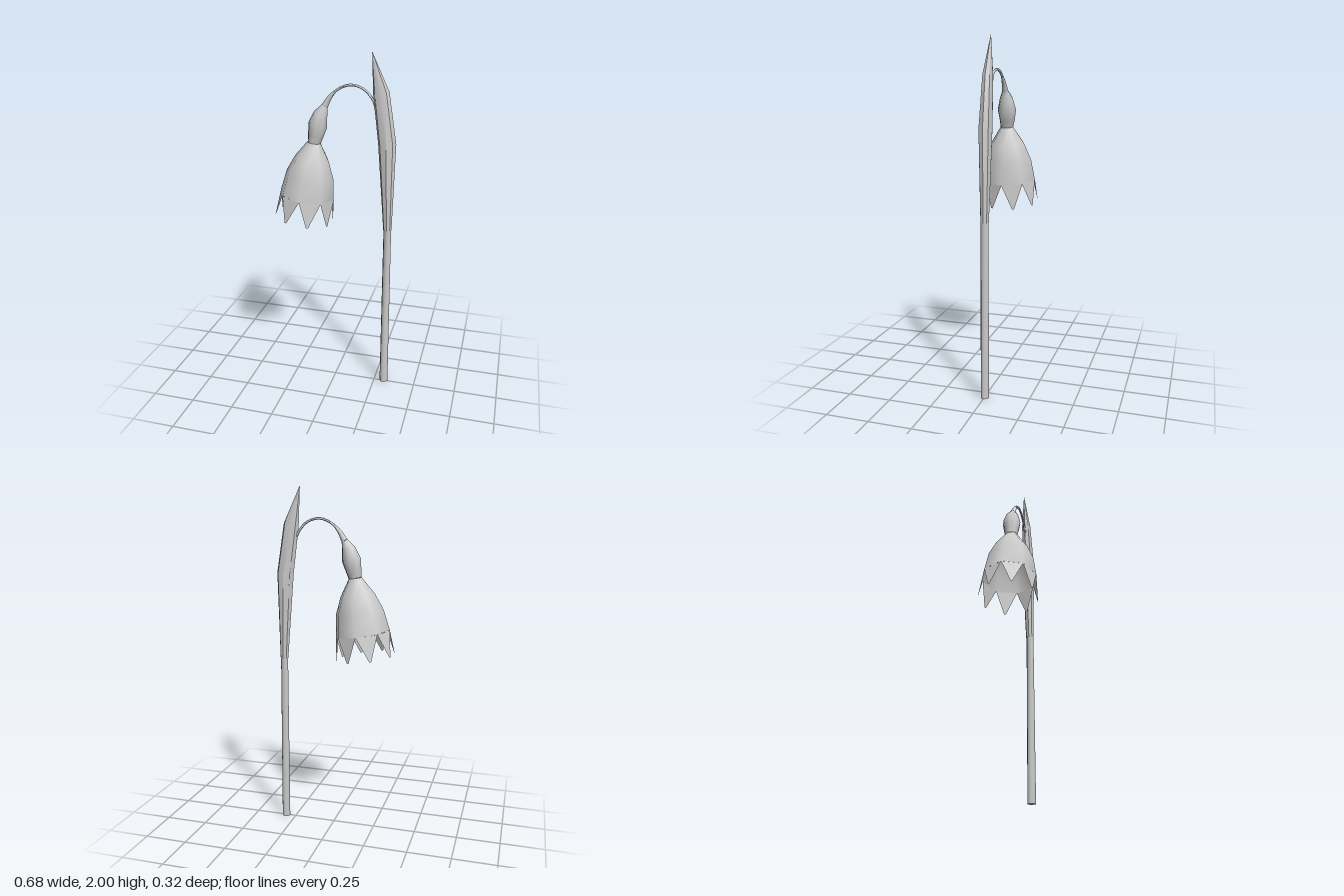
import * as THREE from 'three';
import { toCreasedNormals } from 'three/addons/utils/BufferGeometryUtils.js';

const material = new THREE.MeshStandardMaterial({ color: 0xcccccc, side: THREE.DoubleSide });

// Skin a chain of elliptical rings [x, y, z, radius in plane, radius along z]
function sweep(rings, sides, crease) {
  const pos = [], index = [];
  rings.forEach(([x, y, z, ru, rz = ru], i) => {
    const a = rings[Math.max(i - 1, 0)], b = rings[Math.min(i + 1, rings.length - 1)];
    const t = new THREE.Vector2(b[0] - a[0], b[1] - a[1]).normalize();
    for (let j = 0; j < sides; j++) {
      const ang = (j / sides) * Math.PI * 2, c = Math.cos(ang) * ru;
      pos.push(x + t.y * c, y - t.x * c, z + Math.sin(ang) * rz);
    }
  });
  for (let i = 0; i < rings.length - 1; i++) {
    for (let j = 0; j < sides; j++) {
      const a = i * sides + j, b = i * sides + (j + 1) % sides;
      index.push(a, a + sides, b, b, a + sides, b + sides);
    }
  }
  const g = new THREE.BufferGeometry();
  g.setAttribute('position', new THREE.Float32BufferAttribute(pos, 3));
  g.setIndex(index);
  return toCreasedNormals(g, crease);
}

// Eight pointed teeth hanging from the rim of the bell
function teethGeometry(rim, tip, rimRadius, tipRadius, tilt) {
  const at = (c, r, k) => {
    const a = (k / 8) * Math.PI * 2, u = Math.cos(a) * r;
    return [c[0] + u * Math.cos(tilt), c[1] - u * Math.sin(tilt), Math.sin(a) * r];
  };
  const pos = [];
  for (let k = 0; k < 8; k++) {
    // slightly blunt tip made from two close points
    const a = at(rim, rimRadius, k), b = at(rim, rimRadius, k + 1);
    const p = at(tip, tipRadius, k + 0.46), q = at(tip, tipRadius, k + 0.54);
    pos.push(...a, ...b, ...p, ...b, ...q, ...p);
  }
  const g = new THREE.BufferGeometry();
  g.setAttribute('position', new THREE.Float32BufferAttribute(pos, 3));
  g.computeVertexNormals();
  return g;
}

export function createModel() {
  const model = new THREE.Group();
  const add = (name, geometry) => {
    const mesh = new THREE.Mesh(geometry, material);
    mesh.name = name;
    model.add(mesh);
  };

  // Straight stem with closed foot
  add('stem', sweep([
    [0.31, 0, -0.004, 0],
    [0.31, 0.001, -0.004, 0.025],
    [0.304, 1.03, -0.004, 0.022],
    [0.304, 1.031, -0.004, 0],
  ], 8, 0.9));

  // Pointed sheath above the stem, leaning towards the flower
  add('sheath', sweep([
    [0.304, 1.01, -0.005, 0],
    [0.304, 1.015, -0.005, 0.024],
    [0.288, 1.515, -0.007, 0.05, 0.038],
    [0.248, 1.79, -0.008, 0.045, 0.028],
    [0.195, 2.0, -0.008, 0.001],
  ], 8, 0.6));

  // Thin arching stalk
  const arch = new THREE.CatmullRomCurve3([
    [0.225, 1.69], [0.205, 1.75], [0.15, 1.808], [0.08, 1.826],
    [0.01, 1.80], [-0.035, 1.755], [-0.065, 1.705],
  ].map(([x, y]) => new THREE.Vector3(x, y, -0.008)));
  const stalk = arch.getPoints(24).map((p, i) =>
    [p.x, p.y, p.z, 0.007 + 0.012 * Math.max(0, (i - 17) / 7)]);
  add('stalk', sweep(stalk, 8, 1.5));

  // Swollen ovary between stalk and bell
  add('ovary', sweep([
    [-0.065, 1.705, -0.008, 0.019],
    [-0.088, 1.66, -0.007, 0.04],
    [-0.104, 1.60, -0.006, 0.055],
    [-0.117, 1.54, -0.004, 0.045],
    [-0.125, 1.50, 0, 0.038],
  ], 8, 1.5));

  // Open bell of the flower
  add('bell', sweep([
    [-0.125, 1.50, 0, 0.038],
    [-0.139, 1.405, 0, 0.10],
    [-0.152, 1.31, 0, 0.14],
    [-0.17, 1.19, 0, 0.16],
  ], 8, 1.5));

  add('petalTeeth', teethGeometry([-0.17, 1.19], [-0.19, 1.05], 0.16, 0.169, 0.145));
  return model;
}
